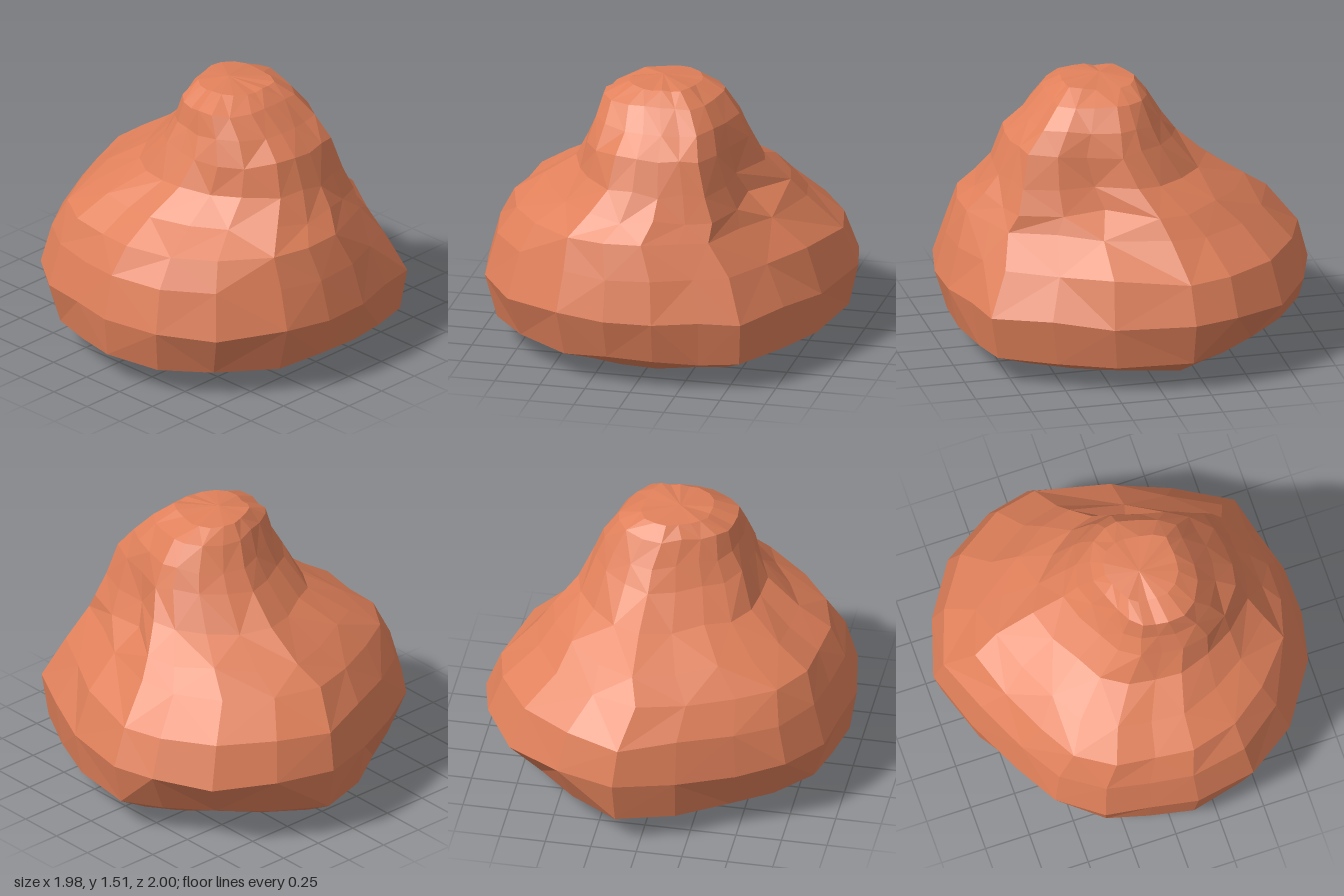
import * as THREE from 'three';

// Plan of the boulder, from the front round by +x, as x, z pairs
const PLAN = [
  [0.12, 1], [0.37, 0.93], [0.59, 0.87], [0.76, 0.57], [0.9, 0.26],
  [1, -0.17], [0.93, -0.41], [0.75, -0.69], [0.46, -0.89], [0.14, -1],
  [-0.19, -0.89], [-0.5, -0.74], [-0.75, -0.6], [-0.92, -0.37], [-0.96, -0.12],
  [-1, 0.13], [-0.94, 0.46], [-0.74, 0.72], [-0.42, 0.94], [-0.15, 1],
];
const SIDES = PLAN.length;

// Cross-sections: height, left x, right x, front z, back z,
// bulge at the four corners (+x+z, +x-z, -x-z, -x+z),
// depth of the notch on the +x side and of the valley at the -x front
const RINGS = [
  [0.015, -0.35, 0.45, 0.35, -0.4, [0, -0.1, -0.05, 0], 0, 0],
  [0.05, -0.75, 0.74, 0.73, -0.76, [0, -0.15, -0.1, -0.05], 0, 0],
  [0.155, -0.955, 0.945, 0.94, -0.955, [0.02, -0.14, -0.08, -0.03], 0, 0],
  [0.39, -0.99, 0.985, 1.0, -1.0, [0, 0.02, 0, 0.02], 0, 0],
  [0.62, -0.93, 0.9, 0.94, -0.94, [-0.06, 0.02, 0, 0], 0, 0],
  [0.79, -0.85, 0.72, 0.88, -0.79, [-0.08, 0.01, 0.03, -0.02], 0.03, 0.03],
  [0.9, -0.68, 0.67, 0.79, -0.66, [-0.05, -0.06, 0.03, 0], 0.22, 0.1],
  [1.03, -0.5, 0.54, 0.71, -0.45, [0, -0.08, 0, 0.04], 0.18, 0.12],
  [1.2, -0.42, 0.45, 0.64, -0.28, [0.03, -0.03, 0, 0.05], 0.09, 0.06],
  [1.31, -0.36, 0.39, 0.53, -0.2, [0.06, 0.02, 0, 0.05], 0.03, 0],
  [1.43, -0.33, 0.3, 0.42, -0.12, [0.1, 0.08, 0, 0.06], 0, 0],
  [1.495, -0.2, 0.18, 0.33, -0.06, [0.12, 0.08, 0.04, 0.04], 0, 0],
];

// Small repeatable irregularity in the range -1..1
function wobble(i, j, k) {
  const s = Math.sin(i * 12.99 + j * 78.23 + k * 37.7) * 43758.55;
  return 2 * (s - Math.floor(s)) - 1;
}

// Smooth dent around one direction
const dent = (a, centre) => Math.exp(-(((a - centre) / 0.33) ** 2));

function ringPoint(r, s) {
  const [y, left, right, front, back, corners, notch, valley] = RINGS[r];
  const [px, pz] = PLAN[s];
  const a = Math.atan2(px, pz);
  const quarter = px > 0 ? (pz > 0 ? 0 : 1) : pz < 0 ? 2 : 3;
  const k = 1 + corners[quarter] * Math.sin(2 * a) ** 2
    - notch * dent(a, 1.33) - valley * dent(a, -0.98) + wobble(r, s, 2) * 0.006;
  const rough = r < 2 ? 0.004 : r > 9 ? 0.01 : 0.015;
  return [
    (left + right) / 2 + ((right - left) / 2) * k * px,
    y + wobble(r, s, 3) * rough,
    (front + back) / 2 + ((front - back) / 2) * k * pz,
  ];
}

function boulderGeometry() {
  const positions = [];
  const index = [];
  for (let r = 0; r < RINGS.length; r++)
    for (let s = 0; s < SIDES; s++) positions.push(...ringPoint(r, s));

  // Faceted sides
  const at = (r, s) => r * SIDES + (s % SIDES);
  for (let r = 0; r < RINGS.length - 1; r++) {
    for (let s = 0; s < SIDES; s++) {
      const a = at(r, s), b = at(r, s + 1), c = at(r + 1, s + 1), d = at(r + 1, s);
      if ((r + s) % 2) index.push(a, b, c, a, c, d);
      else index.push(a, b, d, b, c, d);
    }
  }

  // Underside and summit
  const bottom = positions.length / 3;
  positions.push(0.12, 0, -0.05, -0.03, 1.515, 0.12);
  const last = RINGS.length - 1;
  for (let s = 0; s < SIDES; s++) {
    index.push(bottom, at(0, s + 1), at(0, s));
    index.push(bottom + 1, at(last, s), at(last, s + 1));
  }

  const geometry = new THREE.BufferGeometry();
  geometry.setAttribute('position', new THREE.Float32BufferAttribute(positions, 3));
  geometry.setIndex(index);
  geometry.computeVertexNormals();
  return geometry;
}

export function createModel() {
  const group = new THREE.Group();
  group.name = 'rock';
  const material = new THREE.MeshStandardMaterial({ color: 0xe0805a, flatShading: true });
  const boulder = new THREE.Mesh(boulderGeometry(), material);
  boulder.name = 'boulder';
  group.add(boulder);
  return group;
}
